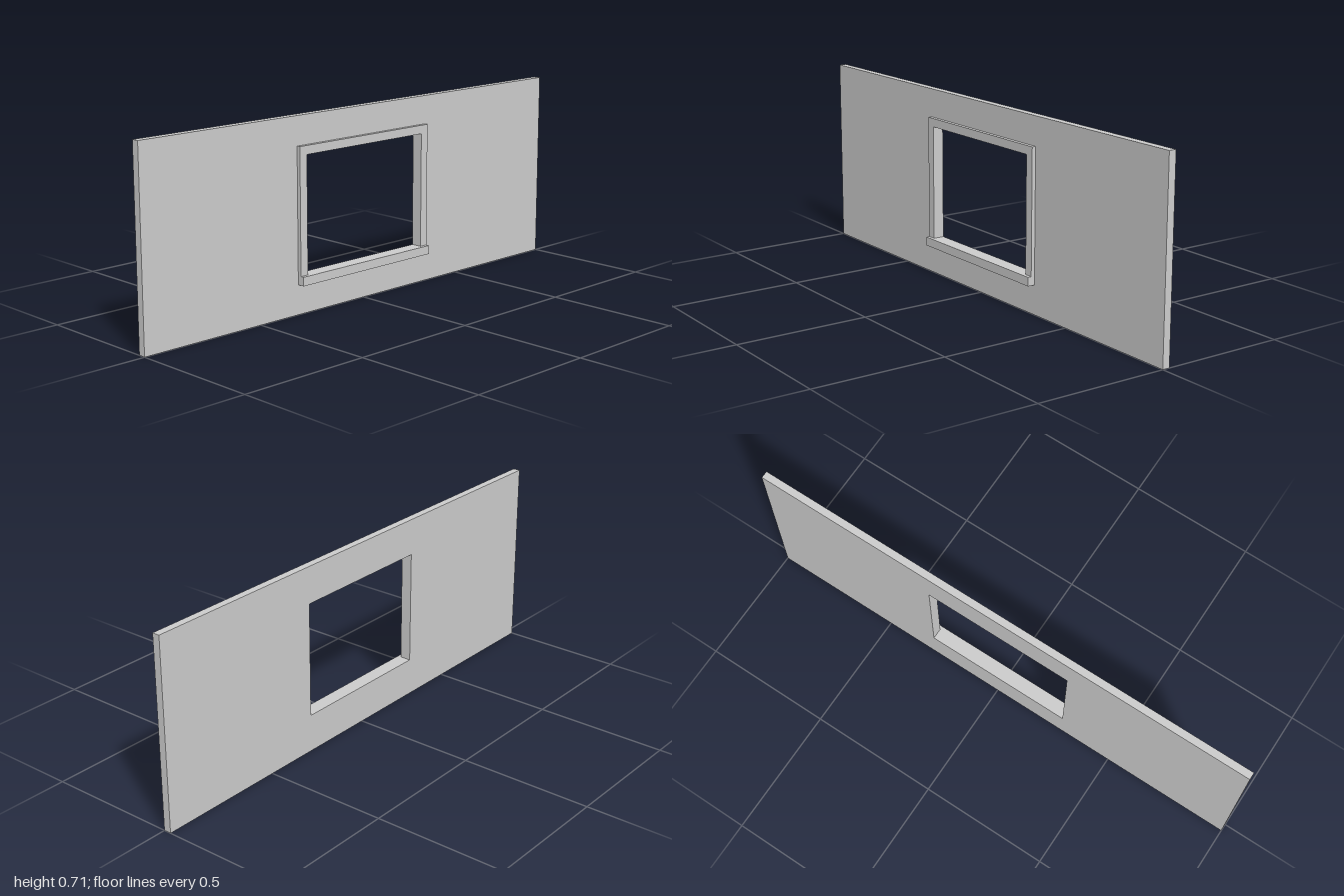
import * as THREE from 'three';

const material = new THREE.MeshStandardMaterial({ color: 0xcccccc, flatShading: true });

// Overall sizes
const WALL = { halfWidth: 1, height: 0.715, depth: 0.028 };
const OPENING = { halfWidth: 0.29, bottom: 0.143, top: 0.576 };
const TRIM = { halfWidth: 0.323, bottom: 0.11, top: 0.608, depth: 0.0145 };
const SILL_DEPTH = 0.028;

const corners = (halfWidth, bottom, top) => [
  new THREE.Vector2(-halfWidth, bottom),
  new THREE.Vector2(halfWidth, bottom),
  new THREE.Vector2(halfWidth, top),
  new THREE.Vector2(-halfWidth, top),
];

function slab(name, shape, depth, z = 0) {
  const geometry = new THREE.ExtrudeGeometry(shape, { depth, bevelEnabled: false });
  const mesh = new THREE.Mesh(geometry, material);
  mesh.name = name;
  mesh.position.z = z;
  return mesh;
}

export function createModel() {
  const group = new THREE.Group();
  group.name = 'wallWithWindow';

  // Wall panel with the window opening cut through, behind z = 0
  const wall = new THREE.Shape(corners(WALL.halfWidth, 0, WALL.height));
  wall.holes.push(new THREE.Path(corners(OPENING.halfWidth, OPENING.bottom, OPENING.top)));
  group.add(slab('wallPanel', wall, WALL.depth, -WALL.depth));

  // Trim round the sides and top of the opening, standing on the sill
  const outer = corners(TRIM.halfWidth, OPENING.bottom, TRIM.top);
  const inner = corners(OPENING.halfWidth, OPENING.bottom, OPENING.top);
  const trim = new THREE.Shape([
    outer[0], inner[0], inner[3], inner[2], inner[1], outer[1], outer[2], outer[3],
  ]);
  group.add(slab('windowTrim', trim, TRIM.depth));

  // Deeper sill below the opening
  const sill = new THREE.Shape(corners(TRIM.halfWidth, TRIM.bottom, OPENING.bottom));
  group.add(slab('windowSill', sill, SILL_DEPTH));

  return group;
}
